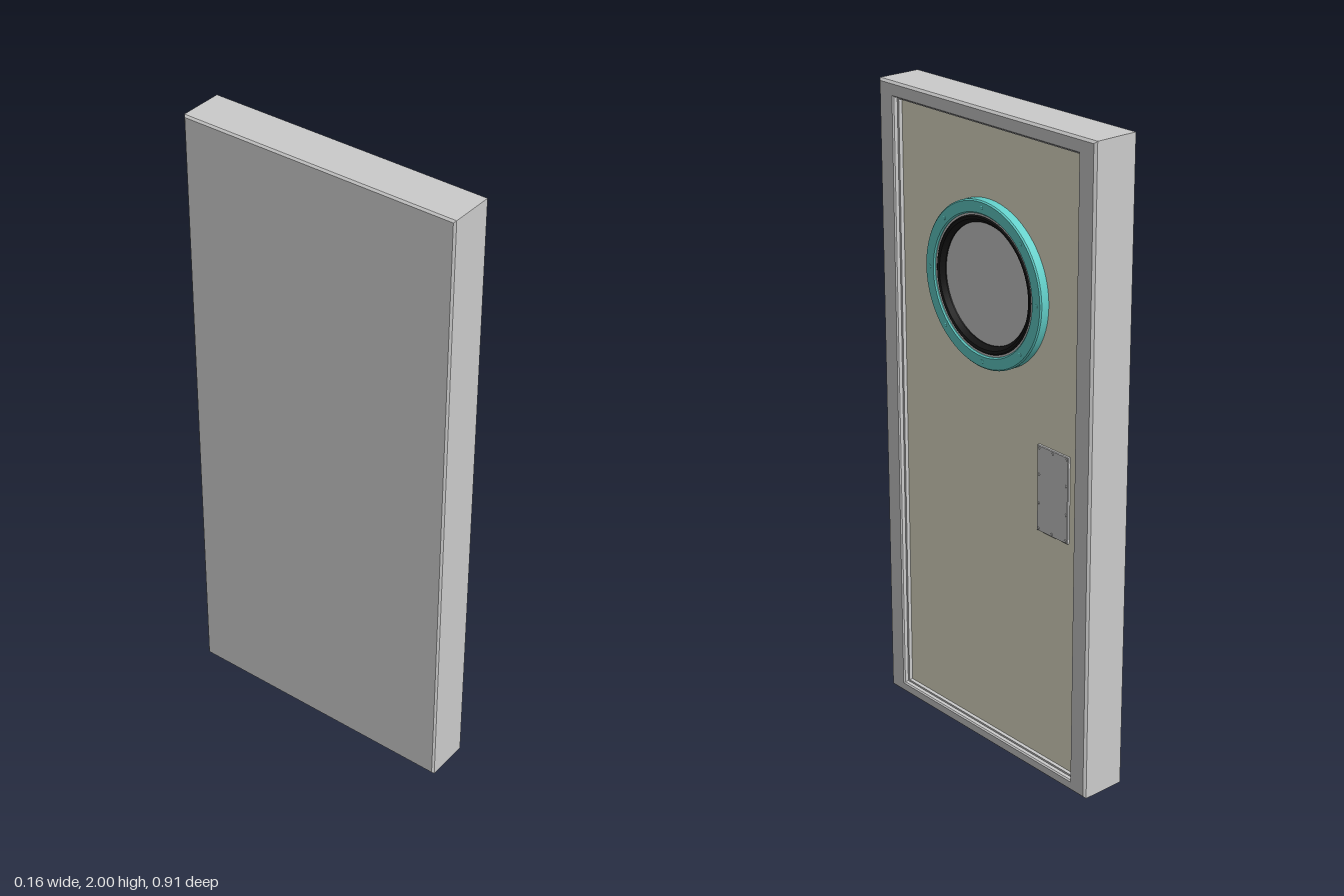
import * as THREE from 'three';
import { toCreasedNormals } from 'three/addons/utils/BufferGeometryUtils.js';

const mat = (color) => new THREE.MeshStandardMaterial({ color });
const grey = mat(0xcccccc);
const cream = mat(0xe6e3cc);
const teal = mat(0x62cfc9);
const black = mat(0x151515);

const PANEL_X = 0.046; // outer face of the recessed panel
const WINDOW_Y = 1.485;

function add(parent, name, geometry, material, x = 0, y = 0, z = 0) {
  const mesh = new THREE.Mesh(geometry, material);
  mesh.name = name;
  mesh.position.set(x, y, z);
  parent.add(mesh);
  return mesh;
}

// Joins rectangular loops [x, half width in z, bottom y, top y] along x.
function rectangleLoft(loops) {
  const corners = loops.map(([x, w, y0, y1]) => [[x, y0, w], [x, y0, -w], [x, y1, -w], [x, y1, w]]);
  const positions = [];
  const quad = (a, b, c, d) => positions.push(...a, ...b, ...c, ...a, ...c, ...d);
  for (let i = 0; i < corners.length - 1; i++) {
    for (let j = 0; j < 4; j++) {
      const k = (j + 1) % 4;
      quad(corners[i][j], corners[i][k], corners[i + 1][k], corners[i + 1][j]);
    }
  }
  const [a, b, c, d] = corners[0];
  quad(a, d, c, b); // flat back
  const geometry = new THREE.BufferGeometry();
  geometry.setAttribute('position', new THREE.Float32BufferAttribute(positions, 3));
  geometry.computeVertexNormals();
  return geometry;
}

// Turns a profile of [radius, height] around the x axis.
function turned(profile, segments = 64) {
  const lathe = new THREE.LatheGeometry(profile.map(([r, h]) => new THREE.Vector2(r, h)), segments);
  lathe.rotateZ(-Math.PI / 2);
  return toCreasedNormals(lathe, 0.5);
}

export function createModel() {
  const door = new THREE.Group();
  door.name = 'door';

  // Slab with bevelled edges, raised border and stepped recess
  add(door, 'doorFrame', rectangleLoft([
    [-0.078, 0.449, 0.006, 1.994],
    [-0.072, 0.455, 0, 2],
    [0.067, 0.455, 0, 2],
    [0.074, 0.448, 0.007, 1.993],
    [0.074, 0.394, 0.031, 1.959],
    [0.070, 0.390, 0.035, 1.955],
    [0.058, 0.390, 0.035, 1.955],
    [0.058, 0.383, 0.041, 1.948],
    [PANEL_X - 0.002, 0.383, 0.041, 1.948],
  ]), grey);

  // Recessed panel
  add(door, 'doorPanel', new THREE.BoxGeometry(0.02, 1.908, 0.768), cream, PANEL_X - 0.01, 0.9945, 0);

  // Round window: flange, inner rim, seal and pane
  const porthole = new THREE.Group();
  porthole.name = 'roundWindow';
  porthole.position.set(PANEL_X, WINDOW_Y, 0);
  door.add(porthole);
  add(porthole, 'windowFlange', turned([
    [0.25, 0], [0.25, 0.026], [0.246, 0.03], [0.214, 0.03], [0.21, 0.026], [0.21, 0],
  ]), teal);
  add(porthole, 'windowInnerRim', turned([[0.212, 0.024], [0.203, 0.024], [0.203, 0]]), grey);
  add(porthole, 'windowSeal', turned([
    [0.204, 0], [0.204, 0.024], [0.2, 0.027], [0.192, 0.025], [0.181, 0.012], [0.181, 0],
  ]), black);
  add(porthole, 'windowPane', turned([[0.183, 0], [0.183, 0.008], [0, 0.008]]), grey);

  // Flange bolts
  const boltGeometry = turned([[0.006, -0.002], [0.006, 0.001], [0.0045, 0.002], [0, 0.002]], 12);
  for (let i = 0; i < 8; i++) {
    const angle = (i * Math.PI) / 4;
    add(porthole, 'flangeBolt', boltGeometry, teal, 0.03, Math.cos(angle) * 0.23, Math.sin(angle) * 0.23);
  }

  // Cover plate with screws around its border
  const plate = new THREE.Group();
  plate.name = 'coverPlate';
  plate.position.set(PANEL_X, 0.925, -0.28);
  door.add(plate);
  add(plate, 'plate', rectangleLoft([
    [0, 0.065, -0.135, 0.135], [0.006, 0.065, -0.135, 0.135],
    [0.008, 0.063, -0.133, 0.133], [0.008, 0, 0, 0],
  ]), grey);
  const screwGeometry = turned([[0.004, 0], [0.004, 0.001], [0.003, 0.002], [0, 0.002]], 10);
  for (const y of [-0.126, -0.045, 0.045, 0.126]) {
    for (const z of [-0.057, 0, 0.057]) {
      if (z === 0 && Math.abs(y) < 0.1) continue;
      add(plate, 'plateScrew', screwGeometry, grey, 0.008, y, z);
    }
  }
  return door;
}
